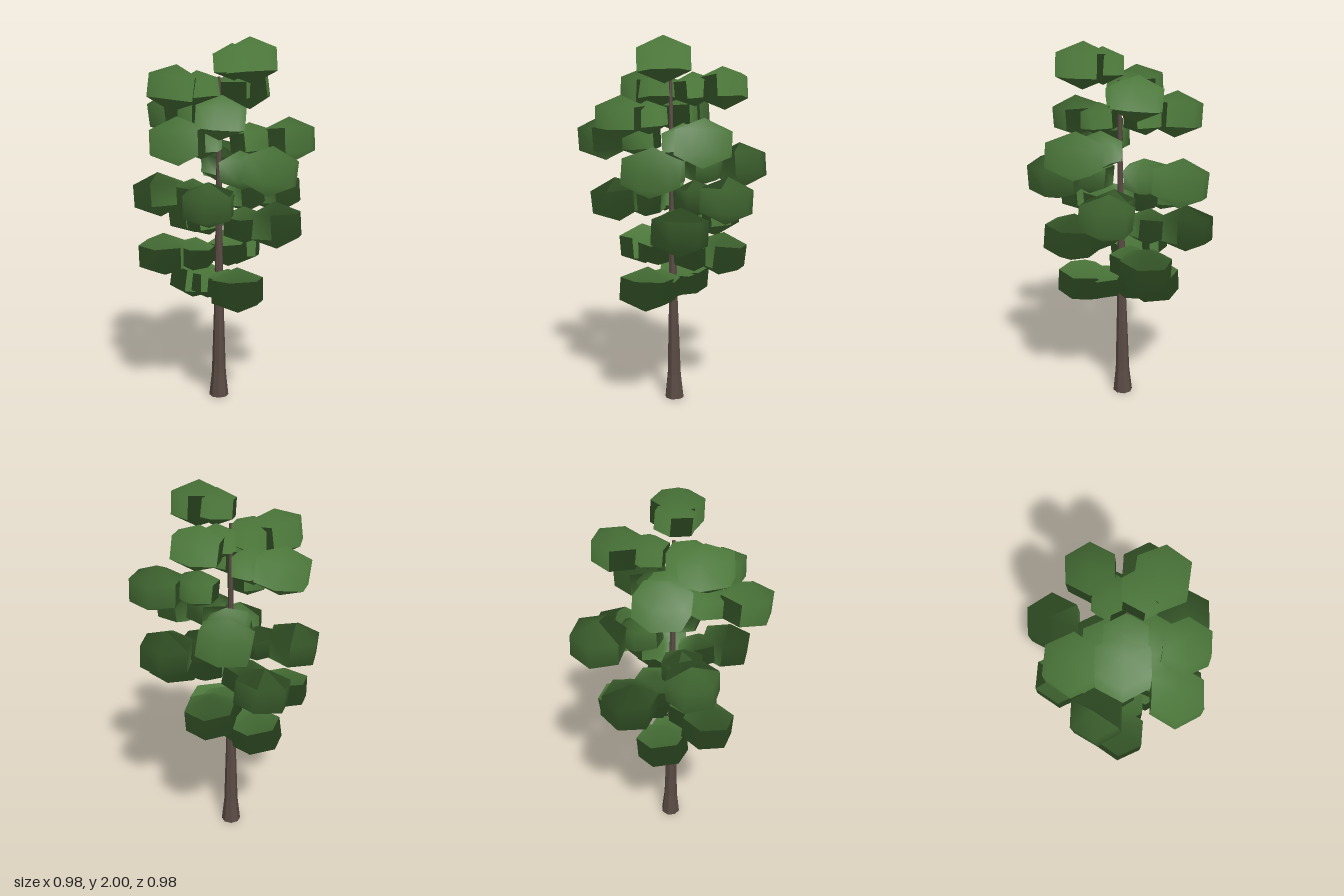
import * as THREE from 'three';

// Outer leaf clump of each branch: x, y, z, half width
const CLUMPS = [
  [0.19, 1.88, -0.04, 0.139],
  [-0.138, 1.74, 0.2, 0.143], [-0.045, 1.74, -0.285, 0.132],
  [-0.317, 1.61, 0.035, 0.145], [0.2, 1.59, 0.2, 0.131],
  [0.06, 1.475, 0.365, 0.143], [0.265, 1.465, -0.28, 0.145],
  [0.335, 1.315, -0.03, 0.152], [-0.262, 1.32, -0.325, 0.147],
  [-0.288, 1.16, 0.18, 0.143], [0.157, 1.15, 0.245, 0.139], [0.12, 1.165, -0.36, 0.143],
  [-0.345, 1.02, -0.14, 0.147], [0.27, 1.01, -0.16, 0.149],
  [-0.187, 0.845, 0.24, 0.139], [-0.1, 0.84, -0.265, 0.14],
  [0.192, 0.675, 0.06, 0.143], [-0.2, 0.67, -0.01, 0.14],
];
const CROWN = new THREE.Vector3(0, 1.3, 0);

// Small seeded generator, 0..1
function makeRandom(seed) {
  return () => (seed = (seed * 16807) % 2147483647) / 2147483647;
}

// The trunk leans a little towards the middle as it rises
const trunkOffset = (y) => -0.02 + 0.01 * y;

// Flattened six-sided clump, softly shaded outward from the crown
function clumpGeometry(x, y, z, halfWidth, random) {
  const radius = halfWidth / Math.sin(Math.PI / 3);
  const geometry = new THREE.SphereGeometry(radius, 6, 3);
  geometry.scale(1, 0.75, 1);
  geometry.rotateY((random() - 0.5) * 0.25);
  geometry.rotateX((random() - 0.5) * 0.25);
  geometry.rotateZ((random() - 0.5) * 0.25);
  geometry.translate(x, y, z);
  const pos = geometry.attributes.position;
  const v = new THREE.Vector3();
  for (let i = 0; i < pos.count; i++) {
    v.fromBufferAttribute(pos, i).sub(CROWN).normalize();
    geometry.attributes.normal.setXYZ(i, v.x, v.y, v.z);
  }
  return geometry;
}

export function createModel() {
  const tree = new THREE.Group();
  tree.name = 'tree';
  const bark = new THREE.MeshStandardMaterial({ color: 0x5a4a44 });
  bark.name = 'bark brown';
  const leaf = new THREE.MeshStandardMaterial({ color: 0x4a7539 });
  leaf.name = 'leaf green';

  // Tapering trunk with a flared foot
  const profile = [[0, 0], [0.055, 0], [0.04, 0.14], [0.026, 0.58], [0.015, 1.3], [0.009, 1.8], [0, 1.8]]
    .map(([r, y]) => new THREE.Vector2(r, y));
  const trunkGeometry = new THREE.LatheGeometry(profile, 8).toNonIndexed();
  const pos = trunkGeometry.attributes.position;
  for (let i = 0; i < pos.count; i++) {
    const lean = trunkOffset(pos.getY(i));
    pos.setX(i, pos.getX(i) + lean);
    pos.setZ(i, pos.getZ(i) + lean);
  }
  trunkGeometry.computeVertexNormals();
  const trunk = new THREE.Mesh(trunkGeometry, bark);
  trunk.name = 'trunk';
  tree.add(trunk);

  // Each branch carries a large outer clump and a smaller one near the trunk
  const random = makeRandom(4711);
  const foliage = new THREE.Group();
  foliage.name = 'foliage';
  tree.add(foliage);
  for (const [x, y, z, halfWidth] of CLUMPS) {
    const outer = new THREE.Mesh(clumpGeometry(x, y, z, halfWidth, random), leaf);
    outer.name = 'outerLeafClump';
    const inner = new THREE.Mesh(
      clumpGeometry(x * 0.45, y - 0.005, z * 0.45, halfWidth * 0.8, random), leaf);
    inner.name = 'innerLeafClump';
    foliage.add(outer, inner);
  }
  return tree;
}
